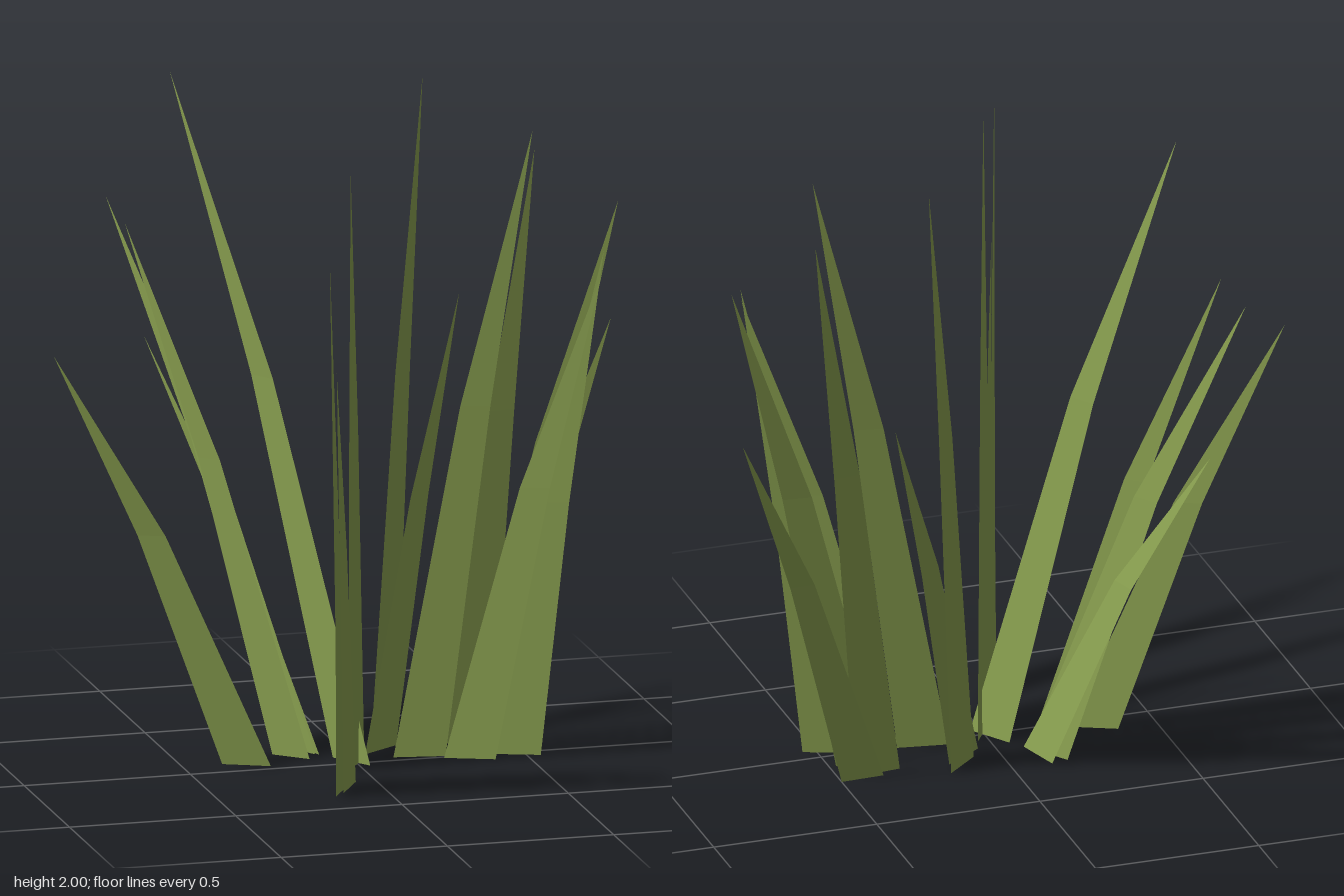
import * as THREE from 'three';

// One blade per row: inner base x,z | outer base x,z | tip x,y,z | height fraction of the bend
const BLADES = [
  [-0.25, -0.03, -0.38, -0.09, -0.87, 1.24, -0.15, 0.56],
  [-0.12, -0.08, -0.21, -0.16, -0.58, 1.55, -0.43, 0.56],
  [-0.09, -0.13, -0.17, -0.25, -0.57, 1.57, -0.68, 0.56],
  [0.03, 0.04, -0.05, -0.08, -0.45, 2.0, -0.41, 0.56],
  [-0.08, -0.12, -0.12, -0.26, -0.44, 1.13, -0.74, 0.56],
  [-0.09, 0.24, -0.16, 0.36, -0.28, 1.71, 0.73, 0.28],
  [-0.06, 0.21, -0.13, 0.33, -0.21, 1.32, 0.55, 0.56],
  [0.035, -0.045, -0.045, 0.08, -0.1, 1.85, 0.3, 0.56],
  [0.08, -0.14, 0.18, -0.23, 0.31, 1.94, -0.41, 0.56],
  [0.05, -0.09, 0.165, -0.17, 0.45, 1.25, -0.52, 0.56],
  [0.12, -0.035, 0.27, -0.01, 0.54, 1.85, -0.04, 0.56],
  [0.31, -0.15, 0.45, -0.165, 0.6, 1.74, -0.24, 0.56],
  [0.26, 0.01, 0.4, 0.065, 0.71, 1.44, 0.1, 0.56],
  [0.4, 0, 0.54, 0.05, 0.73, 1.5, 0.05, 0.5],
  [0.33, -0.09, 0.48, -0.075, 0.83, 1.59, -0.16, 0.56],
  [0.37, -0.18, 0.5, -0.185, 0.86, 1.19, -0.35, 0.57],
];

// Flat blade: a tapering quad up to the bend, then a pointed triangle
function bladeGeometry([ix, iz, ox, oz, tx, ty, tz, bend]) {
  const inner = new THREE.Vector3(ix, 0, iz);
  const outer = new THREE.Vector3(ox, 0, oz);
  const tip = new THREE.Vector3(tx, ty, tz);
  const half = outer.clone().sub(inner).multiplyScalar(0.29);
  const middle = inner.clone().add(outer).multiplyScalar(0.5).lerp(tip, bend * 0.88);
  middle.y = ty * bend;
  const midIn = middle.clone().sub(half);
  const midOut = middle.clone().add(half);
  const geometry = new THREE.BufferGeometry().setFromPoints([
    inner, outer, midOut, inner, midOut, midIn, midIn, midOut, tip,
  ]);
  geometry.computeVertexNormals();
  return geometry;
}

export function createModel() {
  const group = new THREE.Group();
  group.name = 'grassTuft';
  const green = new THREE.MeshStandardMaterial({
    name: 'grassGreen', color: 0x8fa653, side: THREE.DoubleSide, flatShading: true,
  });
  BLADES.forEach((row, i) => {
    const blade = new THREE.Mesh(bladeGeometry(row), green);
    blade.name = `grassBlade${i + 1}`;
    group.add(blade);
  });
  return group;
}
